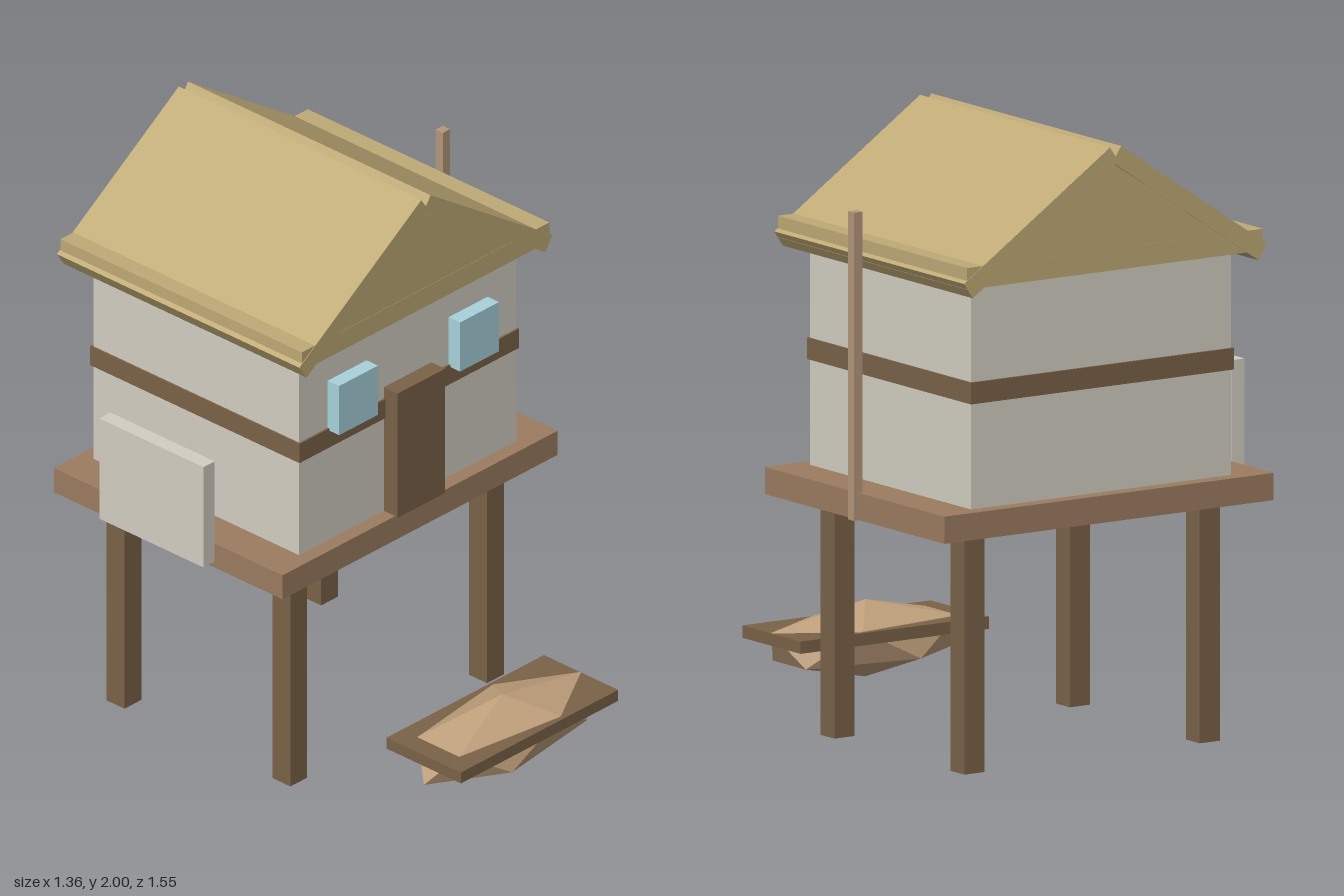
import * as THREE from 'three';
import { ConvexGeometry } from 'three/addons/geometries/ConvexGeometry.js';

const CX = 0.022; // centre line of the house

const mat = (color, extra = {}) => new THREE.MeshStandardMaterial({ color, ...extra });
const materials = {
  wall: mat(0xd2cec2),
  deck: mat(0x9c7c60),
  wood: mat(0x7a6248),
  roof: mat(0xbfaa76),
  glass: mat(0xa8d2dc),
  pole: mat(0xb4977a),
  hull: mat(0xc0a07c, { flatShading: true }),
};

export function createModel() {
  const model = new THREE.Group();
  model.name = 'stiltHouse';

  const add = (name, geometry, material, parent = model) => {
    const mesh = new THREE.Mesh(geometry, material);
    mesh.name = name;
    parent.add(mesh);
    return mesh;
  };

  // Box given by its extents along each axis
  const box = (name, [x0, x1], [y0, y1], [z0, z1], material, parent) => {
    const mesh = add(name, new THREE.BoxGeometry(x1 - x0, y1 - y0, z1 - z0), material, parent);
    mesh.position.set((x0 + x1) / 2, (y0 + y1) / 2, (z0 + z1) / 2);
    return mesh;
  };

  // Stilts and platform
  for (const x of [CX - 0.455, CX + 0.455])
    for (const z of [0.115, -0.61])
      box('stilt', [x - 0.039, x + 0.039], [0, 0.785], [z - 0.039, z + 0.039], materials.wood);
  box('platform', [-0.61, 0.663], [0.78, 0.868], [-0.75, 0.25], materials.deck);

  // Cabin with its surrounding beam
  box('walls', [-0.48, 0.525], [0.865, 1.605], [-0.7, 0.2], materials.wall);
  box('wallBeam', [-0.486, 0.531], [1.21, 1.28], [-0.708, 0.207], materials.wood);

  // Door and windows
  box('door', [-0.088, 0.132], [0.865, 1.32], [0.19, 0.26], materials.wood);
  for (const s of [-1, 1]) {
    const x = CX + s * 0.28;
    box('window', [x - 0.09, x + 0.09], [1.272, 1.452], [0.2, 0.25], materials.glass);
  }

  // Hanging side panel and tall pole
  box('sidePanel', [-0.685, -0.633], [0.82, 1.187], [-0.48, -0.025], materials.wall);
  box('pole', [0.644, 0.678], [0.778, 1.776], [-0.266, -0.234], materials.pole);

  // Roof: eave board, gable prism and two crossing slabs
  const roof = new THREE.Group();
  roof.name = 'roof';
  model.add(roof);
  box('eaveBoard', [-0.55, 0.595], [1.6, 1.67], [-0.778, 0.278], materials.roof, roof);

  const triangle = new THREE.Shape([
    new THREE.Vector2(CX - 0.52, 1.6),
    new THREE.Vector2(CX + 0.52, 1.6),
    new THREE.Vector2(CX, 1.94),
  ]);
  const gable = add('gable', new THREE.ExtrudeGeometry(triangle, { depth: 1.054, bevelEnabled: false }), materials.roof, roof);
  gable.position.z = -0.777;

  for (const s of [-1, 1]) {
    const slab = add('roofSlab', new THREE.BoxGeometry(0.68, 0.06, 1.06), materials.roof, roof);
    slab.position.set(CX + s * 0.287, 1.785, -0.25);
    slab.rotation.z = -s * 0.592;
  }

  // Boat: flat tray around a stretched faceted hull
  const boat = new THREE.Group();
  boat.name = 'boat';
  model.add(boat);
  box('boatTray', [-0.34, 0.388], [0.2, 0.24], [0.45, 0.775], materials.wood, boat);

  const points = [new THREE.Vector3(0, 0.125, 0), new THREE.Vector3(0, -0.125, 0)];
  for (let i = 0; i < 5; i++) {
    const a = (i * Math.PI * 2) / 5;
    const x = 0.364 * Math.cos(a);
    const z = 0.156 * Math.sin(a);
    points.push(new THREE.Vector3(x, 0.056, z), new THREE.Vector3(-x, -0.056, z));
  }
  const hull = add('boatHull', new ConvexGeometry(points), materials.hull, boat);
  hull.position.set(0.025, 0.186, 0.612);

  return model;
}
